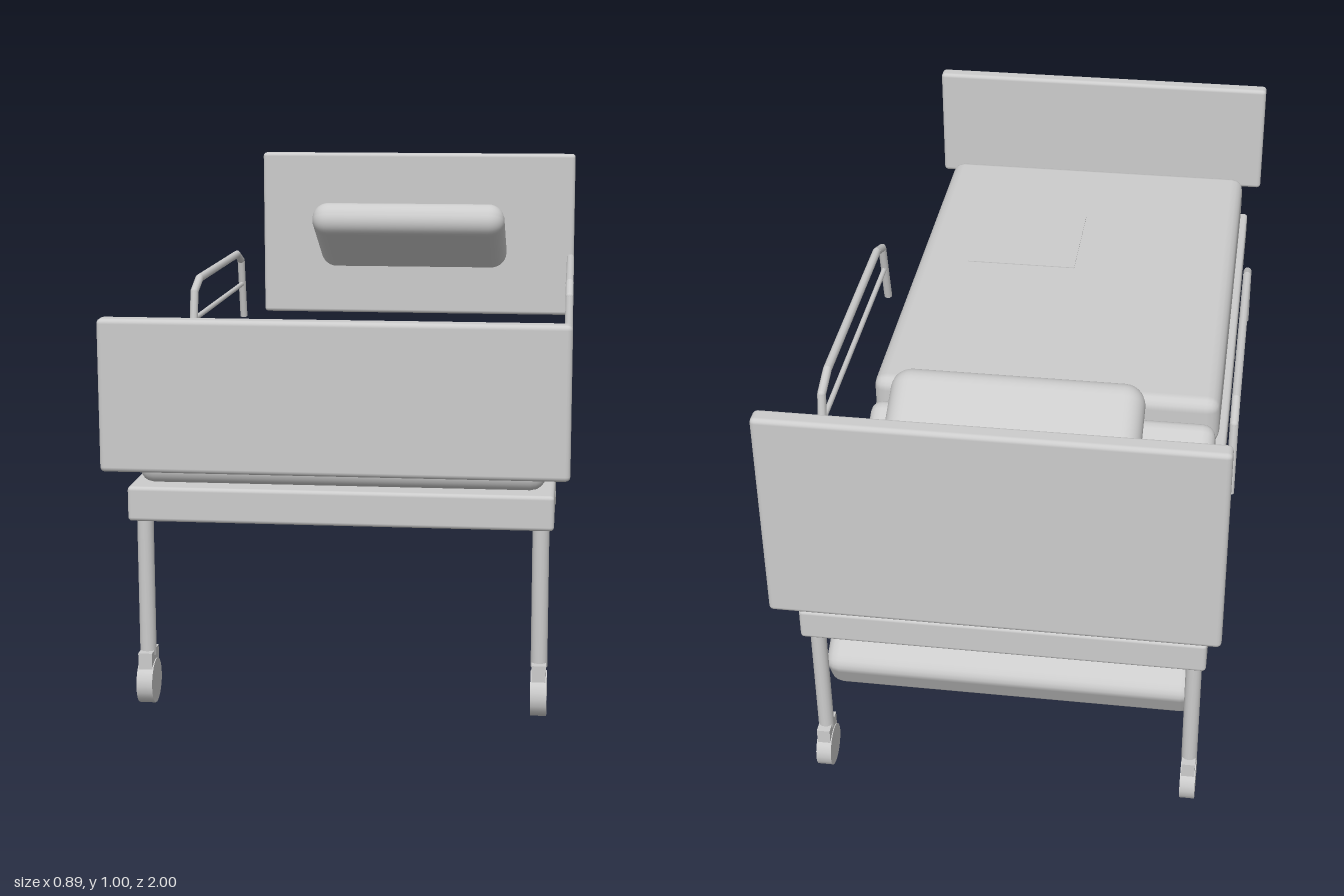
import * as THREE from 'three';
import { RoundedBoxGeometry } from 'three/addons/geometries/RoundedBoxGeometry.js';

export function createModel() {
  const bed = new THREE.Group();
  bed.name = 'adjustableBed';
  const grey = new THREE.MeshStandardMaterial({ color: 0xcccccc });
  grey.name = 'pale grey';

  const add = (name, geometry, x, y, z, parent = bed) => {
    const mesh = new THREE.Mesh(geometry, grey);
    mesh.name = name;
    mesh.position.set(x, y, z);
    parent.add(mesh);
    return mesh;
  };
  const soft = (w, h, d, r, segments = 2) => new RoundedBoxGeometry(w, h, d, segments, r);

  // Straight bar between two points
  const bar = (name, a, b, r, parent) => {
    const dir = b.clone().sub(a);
    const mid = a.clone().add(b).multiplyScalar(0.5);
    const mesh = add(name, new THREE.CylinderGeometry(r, r, dir.length(), 10), mid.x, mid.y, mid.z, parent);
    mesh.quaternion.setFromUnitVectors(new THREE.Vector3(0, 1, 0), dir.normalize());
  };

  // Frame, end boards and the tray underneath
  add('frame', soft(0.835, 0.07, 1.81, 0.008), 0, 0.42, 0);
  add('footboard', soft(0.894, 0.296, 0.04, 0.01), 0, 0.653, 0.98);
  add('headboard', soft(0.894, 0.46, 0.04, 0.01), 0, 0.765, -0.98);
  add('underTray', new THREE.BoxGeometry(0.745, 0.055, 0.93), 0, 0.3075, 0);

  // Mattress: flat leg section, tilted back section, pillow
  add('mattress', soft(0.8, 0.125, 1.115, 0.03), 0, 0.5175, 0.3275);
  add('backSection', soft(0.79, 0.115, 0.65, 0.03), 0, 0.356, -0.528).rotation.x = -0.5;
  add('pillow', soft(0.52, 0.09, 0.3, 0.043, 4), 0, 0.784, -0.727).rotation.x = -0.5;
  add('mattressPatch', new THREE.BoxGeometry(0.27, 0.004, 0.27), 0.135, 0.58, 0.465);

  // Legs with casters
  for (const x of [-0.392, 0.392]) {
    for (const z of [-0.86, 0.86]) {
      const leg = new THREE.Group();
      leg.name = 'leg';
      leg.position.set(x, 0, z);
      bed.add(leg);
      add('post', new THREE.CylinderGeometry(0.0165, 0.0165, 0.29, 16), 0, 0.245, 0, leg);
      add('casterFork', new THREE.BoxGeometry(0.028, 0.04, 0.062), 0, 0.09, 0, leg);
      const wheel = new THREE.CylinderGeometry(0.045, 0.045, 0.032, 20).rotateZ(Math.PI / 2);
      add('casterWheel', wheel, 0, 0.045, 0, leg);
    }
  }

  // Side rails: bent tube with a thin middle bar
  const bends = [[0.58, 0.14], [0.735, 0.105], [0.758, 0.045], [0.758, -0.465], [0.735, -0.525], [0.58, -0.557]];
  for (const x of [-0.438, 0.438]) {
    const rail = new THREE.Group();
    rail.name = x > 0 ? 'leftRail' : 'rightRail';
    bed.add(rail);
    const points = bends.map(([y, z]) => new THREE.Vector3(x, y, z));
    for (let i = 0; i < points.length - 1; i++) {
      bar('railTube', points[i], points[i + 1], 0.0095, rail);
      if (i > 0) add('railBend', new THREE.SphereGeometry(0.0095, 10, 8), x, points[i].y, points[i].z, rail);
    }
    bar('middleBar', new THREE.Vector3(x, 0.67, 0.12), new THREE.Vector3(x, 0.67, -0.539), 0.006, rail);
  }

  return bed;
}
